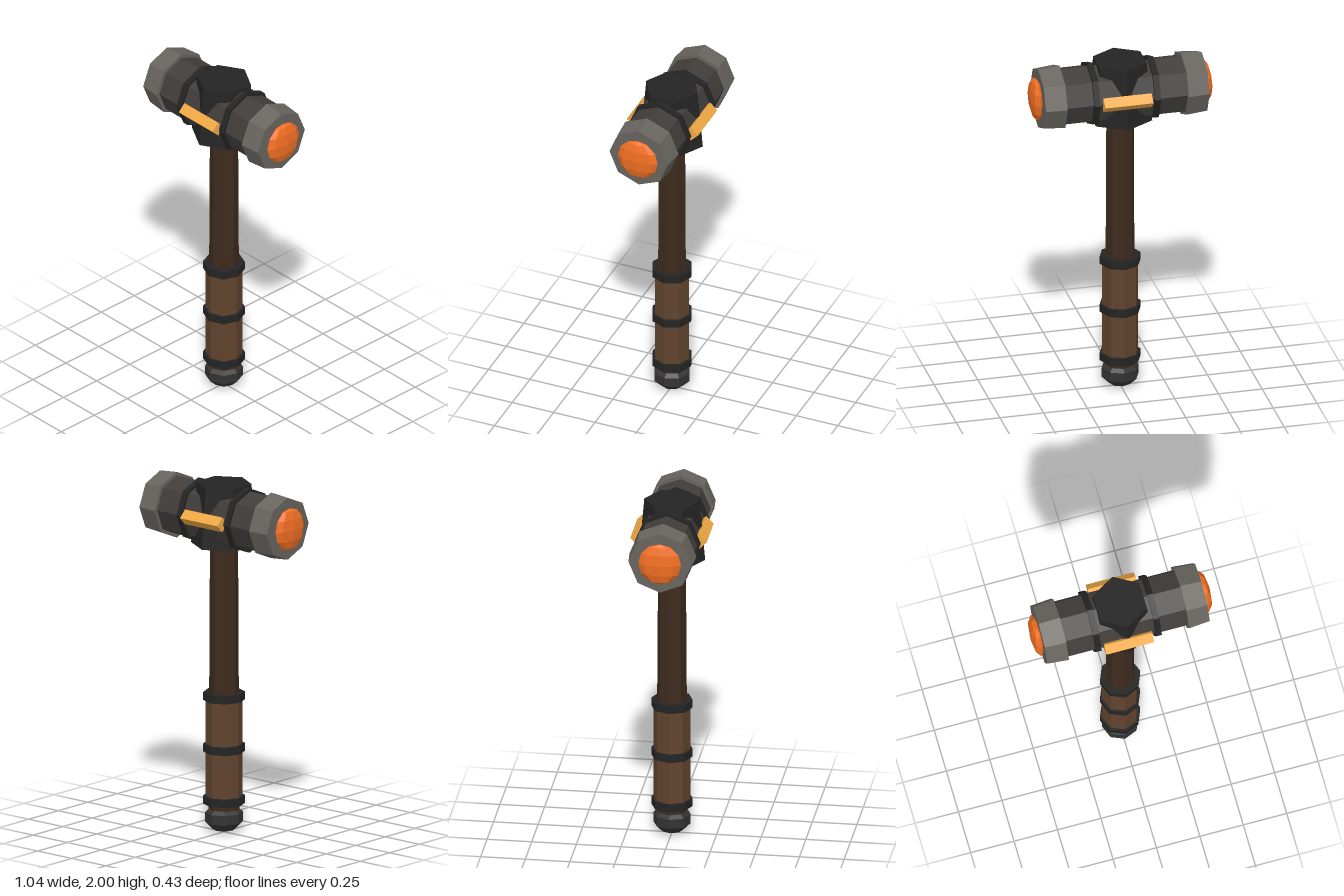
import * as THREE from 'three';

const HEAD_Y = 1.814;

const flat = (color) => new THREE.MeshStandardMaterial({ color, flatShading: true });

export function createModel() {
  const model = new THREE.Group();
  const mats = {
    darkWood: flat(0x3e2a1d),
    wood: flat(0x61432d),
    iron: flat(0x242424),
    pommel: flat(0x333333),
    steel: flat(0x403d3a),
    paleSteel: flat(0x68645f),
    gold: flat(0xf0a845),
    gem: flat(0xf26f22),
  };

  function add(name, geometry, material, parent = model) {
    const mesh = new THREE.Mesh(geometry, material);
    mesh.name = name;
    parent.add(mesh);
    return mesh;
  }

  // Upright faceted cylinder between two heights
  function post(name, material, rBottom, rTop, y0, y1, sides = 8) {
    const mesh = add(name, new THREE.CylinderGeometry(rTop, rBottom, y1 - y0, sides), material);
    mesh.position.y = (y0 + y1) / 2;
    return mesh;
  }

  // Shaft, leather grip and its three rings
  post('shaft', mats.darkWood, 0.082, 0.078, 0.88, 1.7);
  post('lowerShaft', mats.darkWood, 0.085, 0.083, 0.1, 0.89);
  post('grip', mats.wood, 0.103, 0.103, 0.19, 0.78);
  for (const y of [0.187, 0.485, 0.78]) post('gripRing', mats.iron, 0.116, 0.116, y - 0.023, y + 0.023);

  // Rounded pommel
  const pommelProfile = [[0, 0], [0.063, 0.018], [0.105, 0.06], [0.105, 0.115], [0.083, 0.137], [0, 0.145]]
    .map(([r, y]) => new THREE.Vector2(r, y));
  add('pommel', new THREE.LatheGeometry(pommelProfile, 8), mats.pommel);

  // Tapered hexagonal block through the middle of the head
  post('centerBlock', mats.iron, 0.186, 0.155, 1.65, 2, 6);

  // Head, laid along x
  const head = new THREE.Group();
  head.name = 'head';
  head.position.y = HEAD_Y;
  model.add(head);

  add('headBody', new THREE.CylinderGeometry(0.167, 0.167, 0.72, 8), mats.steel, head).rotation.z = Math.PI / 2;

  for (const side of [1, -1]) {
    const band = add('headBand', new THREE.CylinderGeometry(0.184, 0.184, 0.034, 8), mats.iron, head);
    band.rotation.z = -side * Math.PI / 2;
    band.position.x = side * 0.173;

    // Striking cap narrows toward its face
    const cap = add('strikingCap', new THREE.CylinderGeometry(0.177, 0.188, 0.122, 8), mats.paleSteel, head);
    cap.rotation.z = -side * Math.PI / 2;
    cap.position.x = side * 0.407;

    const gem = add('faceGem', new THREE.SphereGeometry(0.12, 8, 6), mats.gem, head);
    gem.scale.x = 0.3;
    gem.position.x = side * 0.482;

    // Diamond-section bar on the front and back
    const bar = add('goldBar', new THREE.BoxGeometry(0.275, 0.06, 0.06), mats.gold, head);
    bar.rotation.x = Math.PI / 4;
    bar.position.z = side * 0.172;
  }

  return model;
}
